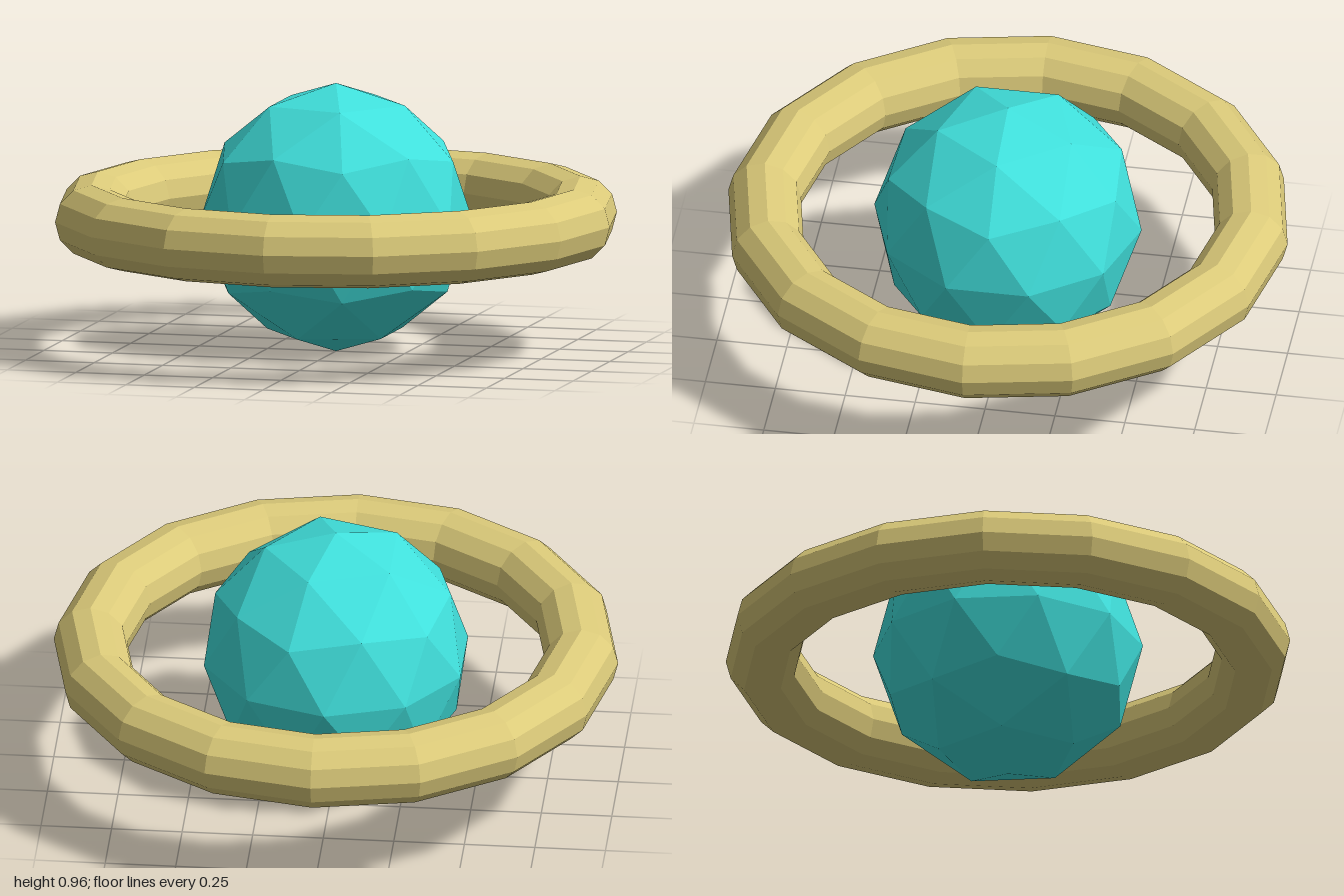
import * as THREE from 'three';

const CENTER_Y = 0.478;

// Icosahedron with a corner at each pole, each face split in four
function poleIcosphere(radius) {
  const h = 1 / Math.sqrt(5), r = 2 / Math.sqrt(5);
  const vertices = [0, 1, 0, 0, -1, 0];
  const faces = [];
  for (let k = 0; k < 5; k++) {
    const a = (k * 2 * Math.PI) / 5, b = a + Math.PI / 5;
    vertices.push(r * Math.cos(a), h, r * Math.sin(a));
    vertices.push(r * Math.cos(b), -h, r * Math.sin(b));
    const n = (k + 1) % 5;
    const u0 = 2 + 2 * k, l0 = u0 + 1, u1 = 2 + 2 * n, l1 = u1 + 1;
    faces.push(0, u1, u0, u0, u1, l0, l0, u1, l1, l0, l1, 1);
  }
  return new THREE.PolyhedronGeometry(vertices, faces, radius, 1);
}

// One normal per face for the low-poly look
function faceted(geometry) {
  const flat = geometry.index ? geometry.toNonIndexed() : geometry;
  flat.computeVertexNormals();
  return flat;
}

export function createModel() {
  const turquoise = new THREE.MeshStandardMaterial({ color: 0x40e0dc });
  turquoise.name = 'turquoise';
  const sand = new THREE.MeshStandardMaterial({ color: 0xdccb7a });
  sand.name = 'sand';

  const model = new THREE.Group();
  model.name = 'ringedPlanet';

  // Faceted planet
  const planet = new THREE.Mesh(faceted(poleIcosphere(0.478)), turquoise);
  planet.name = 'planet';
  planet.position.y = CENTER_Y;

  // Thick ring lying flat around the equator
  const ringGeometry = new THREE.TorusGeometry(0.87, 0.13, 12, 16).rotateX(Math.PI / 2);
  const ring = new THREE.Mesh(faceted(ringGeometry), sand);
  ring.name = 'ring';
  ring.position.y = CENTER_Y;

  model.add(planet, ring);
  return model;
}
